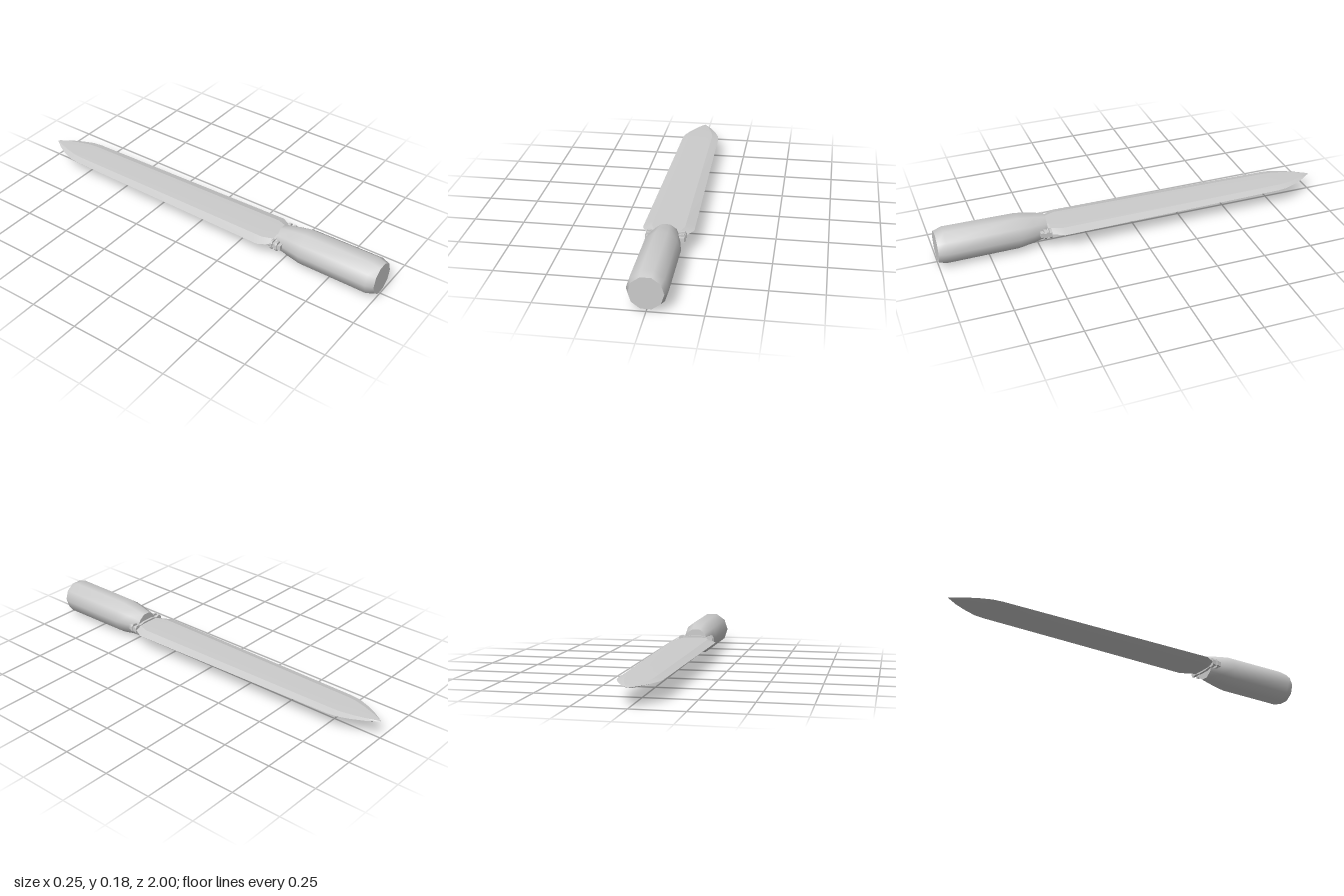
import * as THREE from 'three';
import { toCreasedNormals } from 'three/addons/utils/BufferGeometryUtils.js';

const AXIS_Y = 0.09; // height of the long axis

const steel = new THREE.MeshStandardMaterial({ color: 0xcccccc });
steel.name = 'pale grey';

function part(name, geometry, parent) {
  const mesh = new THREE.Mesh(geometry, steel);
  mesh.name = name;
  parent.add(mesh);
  return mesh;
}

// Ten-sided grip, tapered at the neck and chamfered at the butt
function handleGeometry() {
  const profile = [[0, 0.46], [0.062, 0.46], [0.077, 0.525], [0.09, 0.6],
    [0.0925, 0.96], [0.079, 1], [0, 1]];
  const g = new THREE.LatheGeometry(profile.map(([r, z]) => new THREE.Vector2(r, z)), 10, Math.PI / 10);
  g.rotateX(Math.PI / 2);
  return toCreasedNormals(g, 0.7);
}

// Lofted blade: stations of [z, half width, half thickness]
function bladeGeometry() {
  const stations = [[0.47, 0.08, 0.017], [0.445, 0.093, 0.017], [0.39, 0.123, 0.017],
    [0.34, 0.122, 0.017], [-0.2, 0.112, 0.014], [-0.77, 0.102, 0.011], [-0.82, 0.096, 0.010],
    [-0.88, 0.073, 0.008], [-0.94, 0.042, 0.006], [-0.98, 0.014, 0.004], [-1, 0, 0]];
  // cross-section: sharp edges, bevels and a nearly flat middle
  const section = [[1, 0], [0.64, 0.9], [0, 1], [-0.64, 0.9], [-1, 0], [-0.64, -0.9], [0, -1], [0.64, -0.9]];
  const n = section.length, positions = [], index = [];
  for (const [z, w, t] of stations) for (const [x, y] of section) positions.push(x * w, y * t, z);
  for (let i = 0; i < stations.length - 1; i++) {
    for (let j = 0; j < n; j++) {
      const a = i * n + j, b = i * n + (j + 1) % n;
      index.push(a, a + n, b);
      if (i < stations.length - 2) index.push(b, a + n, b + n);
    }
  }
  for (let j = 1; j < n - 1; j++) index.push(0, j, j + 1);
  const g = new THREE.BufferGeometry();
  g.setAttribute('position', new THREE.Float32BufferAttribute(positions, 3));
  g.setIndex(index);
  return toCreasedNormals(g, 0.2);
}

// Thin plate across the blade, slightly waisted between the grip and its ends
function guardPlate(z) {
  const s = new THREE.Shape();
  const half = [[0.095, 0.012], [0.088, 0.023], [0.075, 0.023], [0.06, 0.018], [0.03, 0.025]];
  const outline = [...half, ...half.map(([x, y]) => [-x, y]).reverse()];
  outline.push(...outline.map(([x, y]) => [x, -y]).reverse());
  s.setFromPoints(outline.map(([x, y]) => new THREE.Vector2(x, y)));
  const g = new THREE.ExtrudeGeometry(s, { depth: 0.012, bevelEnabled: false });
  return g.translate(0, 0, z);
}

export function createModel() {
  const model = new THREE.Group();
  model.name = 'knife';
  model.position.y = AXIS_Y;

  part('handle', handleGeometry(), model);
  part('blade', bladeGeometry(), model);

  const guard = new THREE.Group();
  guard.name = 'guard';
  model.add(guard);
  part('guardBackPlate', guardPlate(0.447), guard);
  part('guardFrontPlate', guardPlate(0.474), guard);
  // spool-like studs joining the plates at both ends
  for (const side of [1, -1]) {
    const stud = part(side > 0 ? 'leftStud' : 'rightStud', new THREE.BoxGeometry(0.026, 0.024, 0.055), guard);
    stud.position.set(side * 0.076, 0, 0.475);
  }

  const root = new THREE.Group();
  root.name = 'model';
  root.add(model);
  return root;
}
